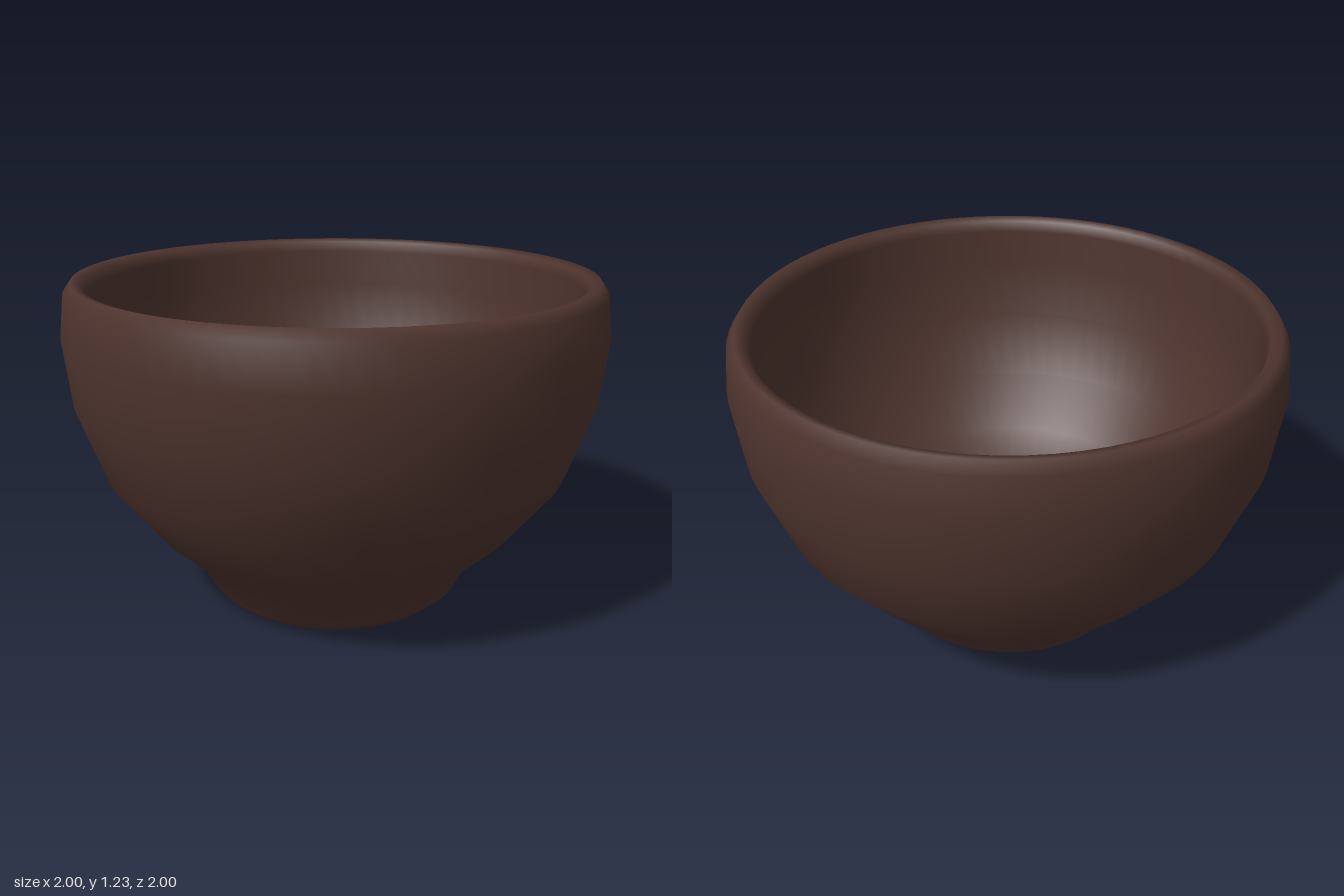
import * as THREE from 'three';

export function createModel() {
  const group = new THREE.Group();
  group.name = 'bowl';
  const darkBrown = new THREE.MeshStandardMaterial({ color: 0x4e342e });
  darkBrown.name = 'darkBrown';

  // One closed profile: underside, foot, outer wall, rounded rim, inner wall, floor
  const profile = [
    [0, 0], [0.42, 0], [0.48, 0.05], [0.54, 0.16], [0.695, 0.3], [0.865, 0.51],
    [0.97, 0.79], [1, 1.04], [0.983, 1.19], [0.955, 1.23],
    [0.918, 1.22], [0.903, 1.18], [0.908, 1.04], [0.88, 0.81], [0.785, 0.56],
    [0.63, 0.37], [0.44, 0.25], [0.22, 0.19], [0, 0.17],
  ].map(([r, y]) => new THREE.Vector2(r, y));
  const geometry = new THREE.LatheGeometry(profile, 72);

  // The hand-thrown foot sits slightly off the centre of the rim
  const position = geometry.attributes.position;
  for (let i = 0; i < position.count; i++) {
    const x = position.getX(i), z = position.getZ(i);
    const shift = 0.0175 * (1 - Math.min(1, Math.hypot(x, z)));
    position.setX(i, x - shift);
    position.setZ(i, z + shift);
  }

  const body = new THREE.Mesh(geometry, darkBrown);
  body.name = 'bowlBody';
  group.add(body);
  return group;
}
